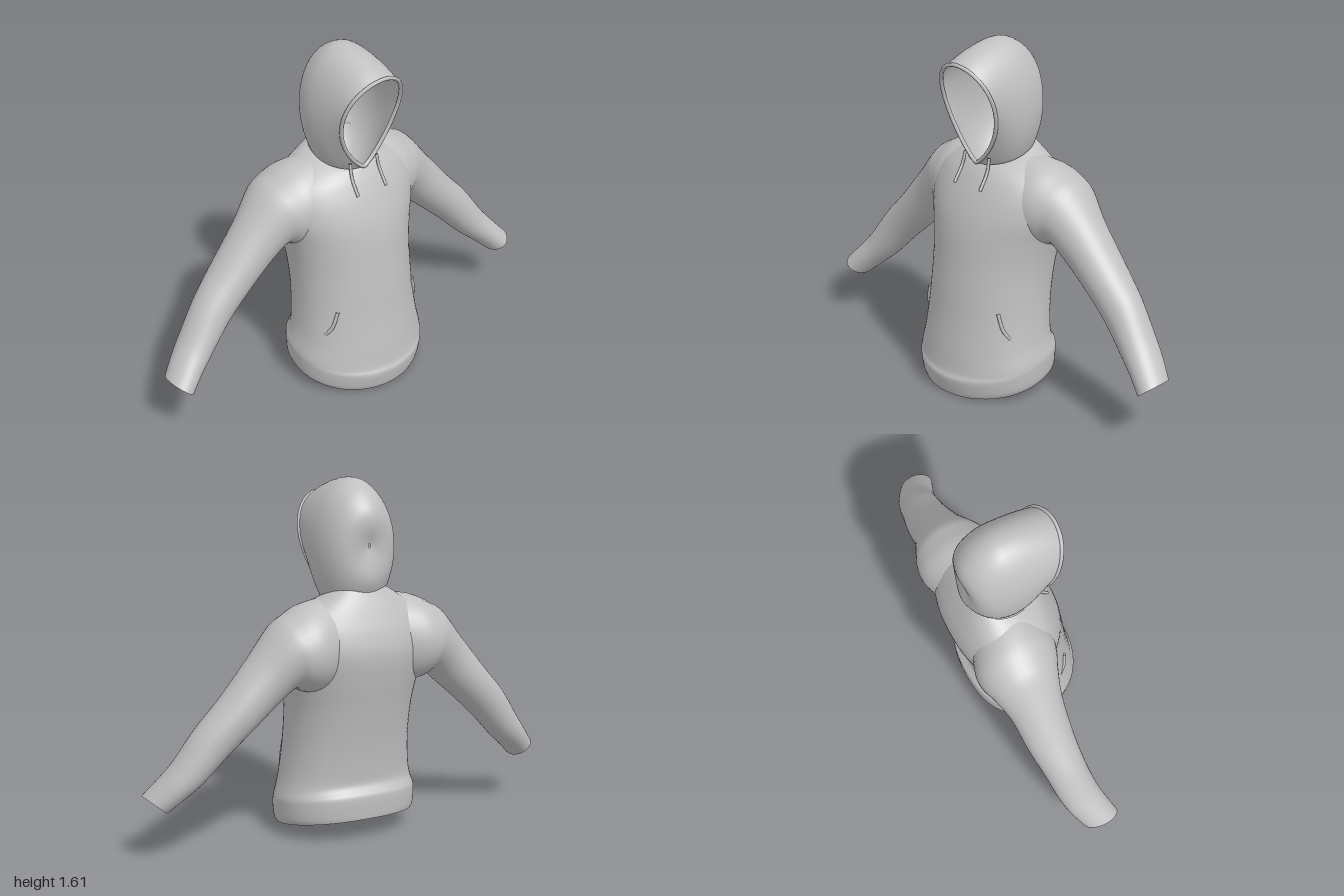
import * as THREE from 'three';

const cloth = new THREE.MeshStandardMaterial({ color: 0xc0c0c0, side: THREE.DoubleSide });
cloth.name = 'greyCloth';

// Smoothly interpolate rows of section parameters
function refine(rows, steps) {
  const out = [];
  const at = i => rows[Math.max(0, Math.min(rows.length - 1, i))];
  for (let i = 0; i < rows.length - 1; i++) {
    for (let k = 0; k < steps; k++) {
      const t = k / steps, a = at(i - 1), b = at(i), c = at(i + 1), d = at(i + 2);
      out.push(b.map((v, n) => v + 0.5 * t * (c[n] - a[n]
        + t * (2 * a[n] - 5 * v + 4 * c[n] - d[n] + t * (3 * (v - c[n]) + d[n] - a[n])))));
    }
  }
  out.push(rows[rows.length - 1]);
  return out;
}

function geometryFrom(points, index) {
  const g = new THREE.BufferGeometry();
  g.setAttribute('position', new THREE.Float32BufferAttribute(points.flat(), 3));
  g.setIndex(index);
  g.computeVertexNormals();
  return g;
}

// Skin over closed rings of equal length
function loft(rings, flip) {
  const n = rings[0].length, index = [];
  for (let i = 0; i < rings.length - 1; i++) {
    for (let j = 0; j < n; j++) {
      const a = i * n + j, b = i * n + (j + 1) % n, c = b + n, d = a + n;
      if (flip) index.push(a, c, b, a, d, c);
      else index.push(a, b, c, a, c, d);
    }
  }
  return geometryFrom(rings.flat(), index);
}

// Flat fan closing one ring
function cap(ring, flip) {
  const n = ring.length, index = [];
  const mid = [0, 1, 2].map(k => ring.reduce((s, p) => s + p[k], 0) / n);
  for (let j = 0; j < n; j++) {
    const k = (j + 1) % n;
    if (flip) index.push(n, k, j);
    else index.push(n, j, k);
  }
  return geometryFrom([...ring, mid], index);
}

function ringOf(n, fn) {
  return Array.from({ length: n }, (_, j) => fn(j / n * Math.PI * 2));
}

const power = (v, e) => Math.sign(v) * Math.pow(Math.abs(v), e);

function createModel() {
  const model = new THREE.Group();
  model.name = 'hoodie';
  const add = (name, geometry) => {
    const mesh = new THREE.Mesh(geometry, cloth);
    mesh.name = name;
    model.add(mesh);
  };
  const cord = (name, pts, r, closed = false, segs = 16) => add(name, new THREE.TubeGeometry(
    new THREE.CatmullRomCurve3(pts.map(p => new THREE.Vector3(...p)), closed), segs, r, 8, closed));

  // Body: front height, back height, half width, front z, back z
  const body = refine([
    [0.005, 0.105, 0.312, 0.29, -0.24],
    [0.03, 0.13, 0.325, 0.297, -0.243],
    [0.085, 0.205, 0.33, 0.306, -0.245],
    [0.11, 0.23, 0.33, 0.296, -0.232],
    [0.14, 0.26, 0.323, 0.29, -0.215],
    [0.22, 0.31, 0.308, 0.28, -0.216],
    [0.36, 0.40, 0.295, 0.26, -0.225],
    [0.50, 0.50, 0.29, 0.245, -0.24],
    [0.62, 0.62, 0.295, 0.23, -0.262],
    [0.74, 0.74, 0.315, 0.215, -0.288],
    [0.84, 0.86, 0.345, 0.193, -0.304],
    [0.93, 0.95, 0.345, 0.16, -0.288],
    [1.00, 1.02, 0.31, 0.125, -0.262],
    [1.035, 1.075, 0.25, 0.103, -0.238],
    [1.055, 1.12, 0.19, 0.088, -0.215],
    [1.06, 1.15, 0.15, 0.082, -0.20],
  ], 4).map(([yf, yb, w, zf, zb]) => ringOf(64, a => {
    const c = Math.cos(a), e = c < 0 ? 0.85 : 1;
    const z = (zf + zb) / 2 + (zf - zb) / 2 * power(c, e);
    return [w * power(Math.sin(a), e), yb + (yf - yb) * (z - zb) / (zf - zb), z];
  }));
  add('body', loft(body, false));
  add('hemUnderside', cap(body[0], true));

  // Sleeves: upper x y, lower x y, front z, back z
  const sleeve = refine([
    [0.16, 1.10, 0.12, 0.70, 0.07, -0.26],
    [0.27, 1.08, 0.22, 0.69, 0.085, -0.298],
    [0.35, 1.042, 0.285, 0.70, 0.068, -0.297],
    [0.415, 1.0, 0.34, 0.72, 0.04, -0.275],
    [0.52, 0.875, 0.42, 0.655, 0.012, -0.238],
    [0.66, 0.71, 0.53, 0.56, 0.0, -0.22],
    [0.775, 0.585, 0.645, 0.455, 0.0, -0.195],
    [0.87, 0.45, 0.755, 0.345, 0.015, -0.172],
    [0.93, 0.375, 0.83, 0.283, 0.035, -0.148],
    [0.995, 0.30, 0.90, 0.22, 0.06, -0.11],
  ], 5);
  for (const s of [1, -1]) {
    const side = s > 0 ? 'left' : 'right';
    const rings = sleeve.map(([ux, uy, lx, ly, zf, zb]) => ringOf(40, a => {
      const c = Math.cos(a) / 2;
      return [s * ((ux + lx) / 2 + (ux - lx) * c), (uy + ly) / 2 + (uy - ly) * c,
        (zf + zb) / 2 + (zf - zb) / 2 * Math.sin(a)];
    }));
    add(side + 'Sleeve', loft(rings, s < 0));
    add(side + 'CuffEnd', cap(rings[rings.length - 1], s < 0));

    // Drawstring and pocket edge
    cord(side + 'Drawstring', [[s * 0.074, 1.10, 0.085], [s * 0.078, 1.04, 0.101],
      [s * 0.08, 0.965, 0.147]], 0.007);
    cord(side + 'PocketEdge', [[s * 0.22, 0.43, 0.176], [s * 0.245, 0.34, 0.16],
      [s * 0.29, 0.255, 0.087]], 0.008);
  }

  // Hood: top y z, bottom y z, half width, pointedness, bow of each loop
  const hood = refine([
    [1.53, 0.208, 1.065, 0.09, 0.155, 0.6, -0.03],
    [1.565, 0.14, 1.02, 0.05, 0.168, 0.35, -0.02],
    [1.598, 0.04, 0.99, 0.0, 0.177, 0.1, 0],
    [1.61, -0.05, 0.98, -0.06, 0.18, 0, 0],
    [1.597, -0.11, 1.0, -0.12, 0.172, 0, 0],
    [1.555, -0.175, 1.06, -0.17, 0.15, 0, 0],
    [1.49, -0.225, 1.13, -0.215, 0.112, 0, 0.012],
    [1.42, -0.237, 1.2, -0.233, 0.06, 0, 0.015],
    [1.34, -0.215, 1.32, -0.215, 0.004, 0, 0],
  ], 5).map(([yt, zt, yb, zb, w, p, bow]) => ringOf(56, a => {
    const t = (1 - Math.cos(a)) / 2;
    const x = w * Math.sin(a) * Math.pow(Math.sin(a / 2), Math.max(p, 0)) / (1 - 0.27 * p);
    return [x, yb + (yt - yb) * t, zb + (zt - zb) * t + bow * Math.sin(a) ** 2];
  }));
  add('hood', loft(hood, true));
  cord('hoodRim', hood[0], 0.009, true, 112);

  return model;
}

export { createModel };
